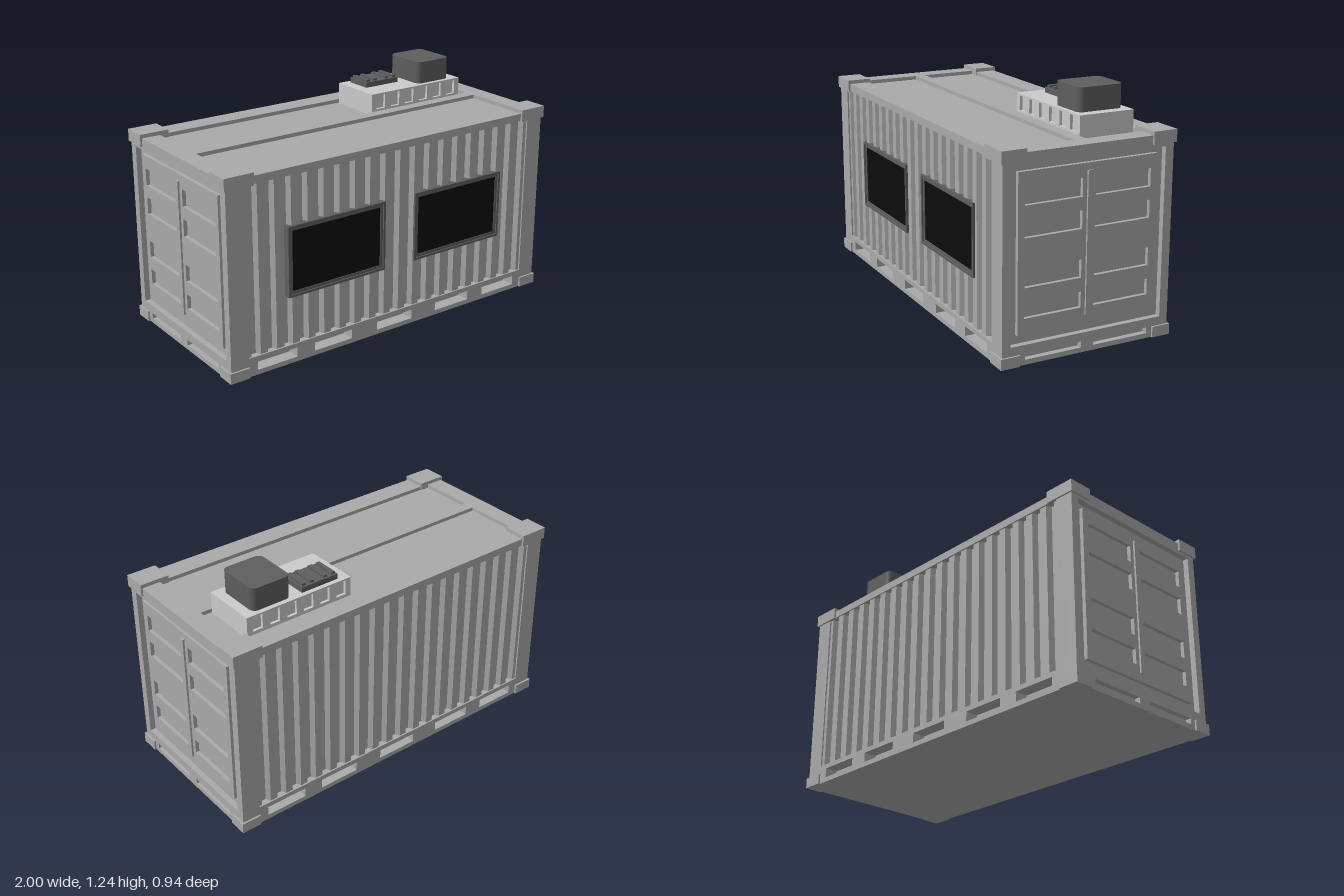
import * as THREE from 'three';

const body = new THREE.MeshStandardMaterial({ color: 0xaaaaaa });
const grey = new THREE.MeshStandardMaterial({ color: 0xcccccc });
const dark = new THREE.MeshStandardMaterial({ color: 0x5e5e5e });
const glass = new THREE.MeshStandardMaterial({ color: 0x0c0c0c });

function add(parent, name, geometry, material) {
  const mesh = new THREE.Mesh(geometry, material);
  mesh.name = name;
  parent.add(mesh);
  return mesh;
}

// Box given by its min and max on each axis
function box(parent, name, [x0, x1], [y0, y1], [z0, z1], material = body) {
  const mesh = add(parent, name, new THREE.BoxGeometry(x1 - x0, y1 - y0, z1 - z0), material);
  mesh.position.set((x0 + x1) / 2, (y0 + y1) / 2, (z0 + z1) / 2);
  return mesh;
}

function rect(target, [x0, x1, y0, y1]) {
  target.moveTo(x0, y0).lineTo(x1, y0).lineTo(x1, y1).lineTo(x0, y1).closePath();
  return target;
}

// Flat plate in XY with rectangular holes, its back at z
function plate(parent, name, outline, holes, z, depth, material = body) {
  const shape = rect(new THREE.Shape(), outline);
  shape.holes = holes.map((h) => rect(new THREE.Path(), h));
  const geo = new THREE.ExtrudeGeometry(shape, { depth, bevelEnabled: false });
  geo.translate(0, 0, z);
  return add(parent, name, geo, material);
}

// Corrugated sheet: trapezoid ribs along x, extruded upwards
function corrugation(parent) {
  const ribs = 19, half = 0.89, pitch = (2 * half) / ribs;
  const out = 0.452, inn = 0.426;
  const shape = new THREE.Shape();
  shape.moveTo(-half, -0.39);
  for (let i = 0; i < ribs; i++) {
    const x = -half + i * pitch;
    shape.lineTo(x, -out);
    shape.lineTo(x + pitch * 0.22, -out);
    shape.lineTo(x + pitch * 0.36, -inn);
    shape.lineTo(x + pitch * 0.64, -inn);
    shape.lineTo(x + pitch * 0.78, -out);
  }
  shape.lineTo(half, -out);
  shape.lineTo(half, -0.39);
  const geo = new THREE.ExtrudeGeometry(shape, { depth: 0.88, bevelEnabled: false });
  geo.rotateX(-Math.PI / 2);
  geo.translate(0, 0.1, 0);
  add(parent, 'corrugatedWall', geo, body);
}

// Long side: frame with lifting pockets, plus the corrugated sheet
function longSide() {
  const side = new THREE.Group();
  const pockets = [-0.725, -0.39, 0, 0.39, 0.725].map((x) => [x - 0.115, x + 0.115, 0.025, 0.075]);
  plate(side, 'sideFrame', [-0.96, 0.96, 0, 1.02], [[-0.89, 0.89, 0.1, 0.98], ...pockets], 0.39, 0.07);
  corrugation(side);
  return side;
}

// End: outer frame, door plate with sunken panels, centre bar
function endWall() {
  const end = new THREE.Group();
  const columns = [[-0.34, -0.035], [0.035, 0.34]];
  plate(end, 'endFrame', [-0.46, 0.46, 0, 1.02],
    [[-0.415, 0.415, 0.1, 0.96], ...columns.map((c) => [...c, 0.025, 0.055])], 0.96, 0.03);
  const rows = [[0.225, 0.305], [0.375, 0.465], [0.615, 0.705], [0.77, 0.86]];
  const panels = columns.flatMap((c) => rows.map((r) => [...c, ...r]));
  plate(end, 'door', [-0.375, 0.375, 0.145, 0.93], panels, 0.96, 0.02);
  box(end, 'doorBar', [-0.012, 0.012], [0.185, 0.895], [0.975, 0.99]);
  return end;
}

// Window: frame with dark glass set back
function windowUnit(parent, x0, x1) {
  const unit = new THREE.Group();
  unit.name = 'window';
  const [y0, y1] = [0.355, 0.725];
  plate(unit, 'windowFrame', [x0, x1, y0, y1], [[x0 + 0.012, x1 - 0.012, y0 + 0.012, y1 - 0.012]], 0.41, 0.054, dark);
  plate(unit, 'innerFrame', [x0 + 0.012, x1 - 0.012, y0 + 0.012, y1 - 0.012],
    [[x0 + 0.027, x1 - 0.027, y0 + 0.027, y1 - 0.027]], 0.41, 0.047, dark);
  box(unit, 'glass', [x0 + 0.02, x1 - 0.02], [y0 + 0.02, y1 - 0.02], [0.41, 0.453], glass);
  parent.add(unit);
}

// Roof cooling unit
function roofUnit() {
  const unit = new THREE.Group();
  unit.name = 'roofUnit';
  const [x0, x1] = [0.22, 0.83];
  box(unit, 'housing', [x0, x1], [1, 1.115], [-0.32, -0.05], grey);
  const holes = [];
  for (let i = 0; i < 6; i++) {
    const x = 0.28 + i * 0.098;
    holes.push([x - 0.028, x + 0.028, 1.03, 1.105]);
  }
  for (const z of [-0.335, -0.05]) plate(unit, 'ventedFace', [x0, x1, 1, 1.115], holes, z, 0.015, grey);

  // Slatted vent
  box(unit, 'vent', [0.28, 0.495], [1.11, 1.143], [-0.31, -0.165], dark);
  for (const x of [0.3, 0.348, 0.427, 0.475]) {
    box(unit, 'ventSlat', [x - 0.011, x + 0.011], [1.14, 1.155], [-0.3, -0.175], dark);
  }

  // Fan box with rounded upright edges
  const w = 0.11, d = 0.125, r = 0.032;
  const s = new THREE.Shape();
  s.absarc(w - r, d - r, r, 0, Math.PI / 2);
  s.absarc(-w + r, d - r, r, Math.PI / 2, Math.PI);
  s.absarc(-w + r, -d + r, r, Math.PI, Math.PI * 1.5);
  s.absarc(w - r, -d + r, r, Math.PI * 1.5, Math.PI * 2);
  const geo = new THREE.ExtrudeGeometry(s, { depth: 0.125, bevelEnabled: false, curveSegments: 5 });
  geo.rotateX(-Math.PI / 2);
  add(unit, 'fanBox', geo, dark).position.set(0.667, 1.11, -0.185);
  return unit;
}

export function createModel() {
  const model = new THREE.Group();
  model.name = 'container';

  box(model, 'core', [-0.96, 0.96], [0, 1], [-0.39, 0.39]);

  // Roof rim and centre strip around two sunken panels
  const roof = plate(model, 'roofFrame', [-0.96, 0.96, -0.39, 0.39],
    [[-0.89, 0.89, 0.03, 0.345], [-0.89, 0.89, -0.345, -0.03]], 0, 0.02);
  roof.rotation.x = -Math.PI / 2;
  roof.position.y = 1;

  for (const turn of [0, Math.PI]) {
    const side = longSide();
    side.name = turn ? 'backSide' : 'frontSide';
    side.rotation.y = turn;
    const end = endWall();
    end.name = turn ? 'rightEnd' : 'leftEnd';
    end.rotation.y = turn + Math.PI / 2;
    model.add(side, end);
  }

  // Corner castings
  const span = (a, b, s) => (s > 0 ? [a, b] : [-b, -a]);
  for (const sx of [-1, 1]) {
    for (const sz of [-1, 1]) {
      box(model, 'topCorner', span(0.84, 1, sx), [0.977, 1.04], span(0.34, 0.47, sz));
      box(model, 'bottomCorner', span(0.89, 1, sx), [0, 0.055], span(0.37, 0.47, sz));
    }
  }

  windowUnit(model, -0.655, -0.07);
  windowUnit(model, 0.12, 0.705);
  model.add(roofUnit());
  return model;
}
